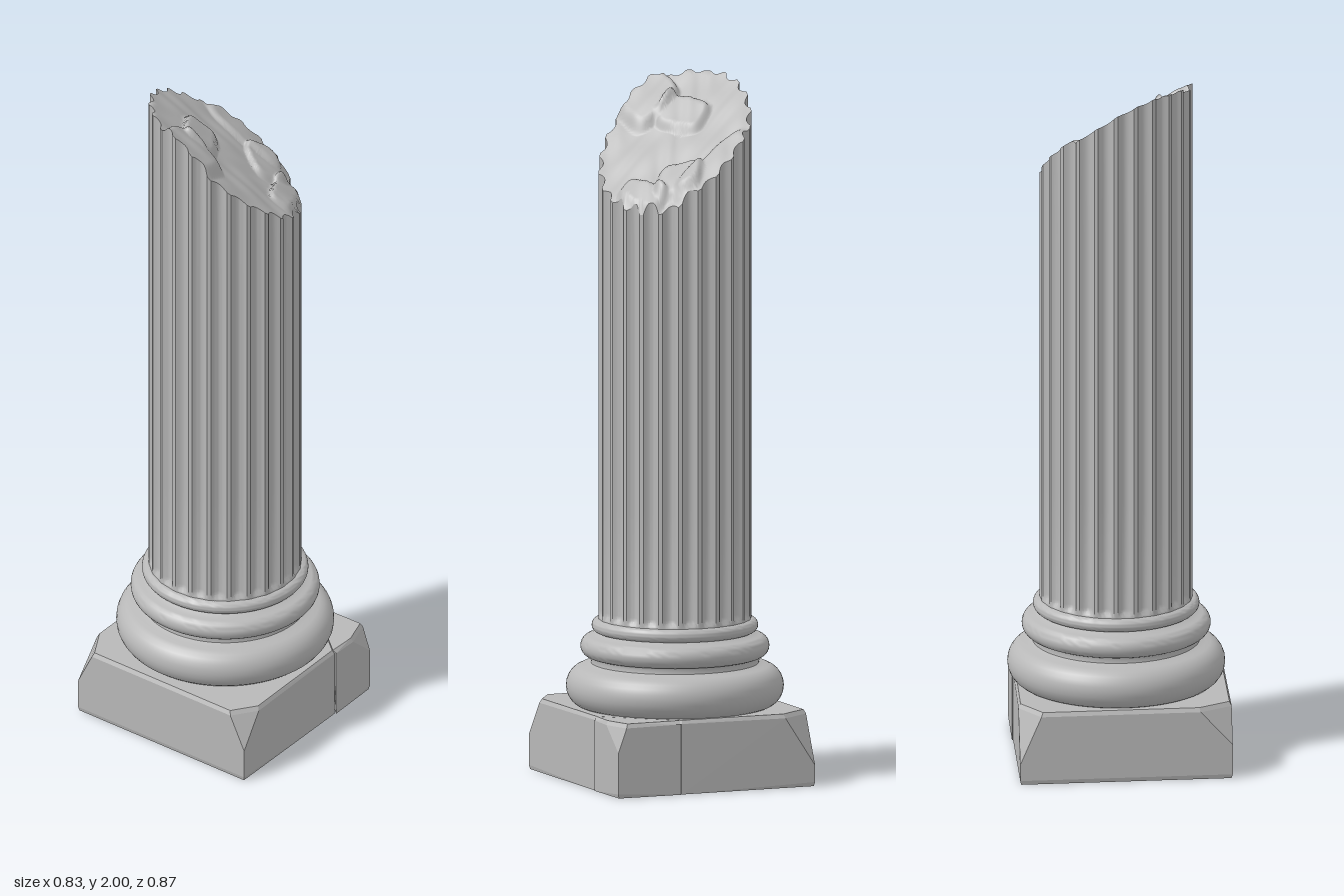
import * as THREE from 'three';
import { toCreasedNormals } from 'three/addons/utils/BufferGeometryUtils.js';
import { ConvexGeometry } from 'three/addons/geometries/ConvexGeometry.js';

const FLUTES = 24, STEPS = 10, N = FLUTES * STEPS, R = 0.217;
const smooth = THREE.MathUtils.smoothstep;

// Fluted radius: shallow scallops between narrow flat fillets
function shaftRadius(i, depth) {
  const u = ((i % STEPS) / STEPS) * 2 - 1;
  return R - depth * Math.max(0, 1 - (u / 0.8) ** 2);
}

// Raised lump left on the broken face
function lump(x, z, cx, cz, a, b, turn, height) {
  const c = Math.cos(turn), s = Math.sin(turn), dx = x - cx, dz = z - cz;
  const q = ((dx * c + dz * s) / a) ** 4 + ((dz * c - dx * s) / b) ** 4;
  return height * (1 - smooth(q, 0.35, 1.4));
}

// Height of the slanting break
function breakHeight(x, z) {
  let y = 1.828 - 0.83 * x;
  y += lump(x, z, -0.07, 0.01, 0.045, 0.075, 0.1, 0.022);
  y += lump(x, z, 0.17, 0.02, 0.035, 0.075, 0.25, 0.02);
  y += lump(x, z, 0.12, -0.07, 0.05, 0.065, -0.3, 0.022);
  y += lump(x, z, 0.08, -0.17, 0.12, 0.06, 0.5, 0.02);
  y += lump(x, z, -0.1, 0.13, 0.075, 0.065, 0.5, 0.03);
  y += 0.003 * Math.sin(47 * x + 2 * Math.sin(31 * z)) * Math.sin(53 * z + 1.3);
  return Math.min(2, y);
}

// Grid of rows x N points closed around the axis
function ringSurface(rows, point) {
  const pos = [], index = [];
  for (let r = 0; r < rows; r++) {
    for (let i = 0; i < N; i++) pos.push(...point(r, i, (i / N) * Math.PI * 2));
  }
  for (let r = 0; r < rows - 1; r++) {
    for (let i = 0; i < N; i++) {
      const j = (i + 1) % N, a = r * N + i, b = r * N + j, c = a + N, d = b + N;
      index.push(a, b, c, b, d, c);
    }
  }
  const geo = new THREE.BufferGeometry();
  geo.setAttribute('position', new THREE.Float32BufferAttribute(pos, 3));
  geo.setIndex(index);
  geo.computeVertexNormals();
  return geo;
}

function shaftGeometry() {
  const levels = [0.44, 0.458, 0.466, 0.475, 0.485, 0.8, 1.2, 1.55];
  return toCreasedNormals(ringSurface(levels.length + 1, (r, i, t) => {
    const y = levels[r] ?? null;
    const rad = shaftRadius(i, 0.014 * (y === null ? 1 : smooth(y, 0.455, 0.482)));
    const x = Math.sin(t) * rad, z = Math.cos(t) * rad;
    return [x, y ?? breakHeight(x, z), z];
  }), 0.5);
}

function breakGeometry() {
  const rings = 30;
  return ringSurface(rings + 1, (r, i, t) => {
    const rad = shaftRadius(i, 0.014) * Math.max(1 - r / rings, 0.0005);
    const x = Math.sin(t) * rad, z = Math.cos(t) * rad;
    return [x, breakHeight(x, z), z];
  });
}

// Moulded base: three rounded rings with hollow necks
function baseGeometry() {
  const pts = [new THREE.Vector2(0.0, 0.205), new THREE.Vector2(0.25, 0.205)];
  const roll = (radius, y, w, h) => {
    for (let k = 0; k <= 12; k++) {
      const a = -Math.PI / 2 + (k / 12) * Math.PI;
      pts.push(new THREE.Vector2(radius - w + Math.cos(a) * w, y + Math.sin(a) * h));
    }
  };
  roll(0.309, 0.268, 0.055, 0.06);
  pts.push(new THREE.Vector2(0.238, 0.334), new THREE.Vector2(0.236, 0.345));
  roll(0.268, 0.382, 0.03, 0.031);
  pts.push(new THREE.Vector2(0.224, 0.419));
  roll(0.236, 0.441, 0.018, 0.019);
  pts.push(new THREE.Vector2(0.2, 0.461));
  return toCreasedNormals(new THREE.LatheGeometry(pts, 96), 0.6);
}

export function createModel() {
  const group = new THREE.Group();
  const stone = new THREE.MeshStandardMaterial({ color: 0xb8b8b8 });
  stone.name = 'grey stone';
  const add = (name, geo, x = 0, z = 0) => {
    const mesh = new THREE.Mesh(geo, stone);
    mesh.name = name;
    mesh.position.set(x, 0, z);
    group.add(mesh);
  };

  const cx = 0.004, cz = -0.013;
  add('flutedShaft', shaftGeometry(), cx, cz);
  add('brokenTop', breakGeometry(), cx, cz);
  add('mouldedBase', baseGeometry(), cx, cz);

  // Turned square plinth with a chip off each upper corner
  const H = 0.212;
  const V = (x, y, z) => new THREE.Vector3(x, y, z);
  const corners = [V(0.416, 0, -0.035), V(0.035, 0, 0.432), V(-0.416, 0, 0.035), V(-0.035, 0, -0.436)];
  // chip height on the corner, then reach along the edges to the previous and next corner
  const chips = [[0.13, 0.025, 0.08], [0.1, 0.07, 0.05], [0.1, 0.05, 0.09], [0.06, 0.06, 0.09]];
  const chipped = (i) => {
    const c = corners[i], [low, toPrev, toNext] = chips[i];
    const along = (o, d) => c.clone().lerp(o, d / 0.6);
    const prev = along(corners[(i + 3) % 4], toPrev), next = along(corners[(i + 1) % 4], toNext);
    const out = [V(c.x * 0.99, 0, c.z * 0.99), V(c.x, 0.012, c.z), V(c.x, low, c.z)];
    for (const p of [prev, next]) {
      out.push(V(p.x, H - 0.012, p.z), V(p.x * 0.98, H, p.z * 0.98));
    }
    return out;
  };
  // Crack line across the right-hand corner
  const crack = (shift, inset) => [[0.313, 0.09], [0.272, -0.162]].flatMap(([x, z]) => [
    V(x + shift, 0, z), V(x + shift, H - 0.01, z), V(x * inset + shift, H, z * inset),
  ]);
  add('plinth', new ConvexGeometry([...chipped(1), ...chipped(2), ...chipped(3), ...crack(-0.004, 0.98)]));
  add('crackedCorner', new ConvexGeometry([...chipped(0), ...crack(0.001, 0.97)]));
  return group;
}
